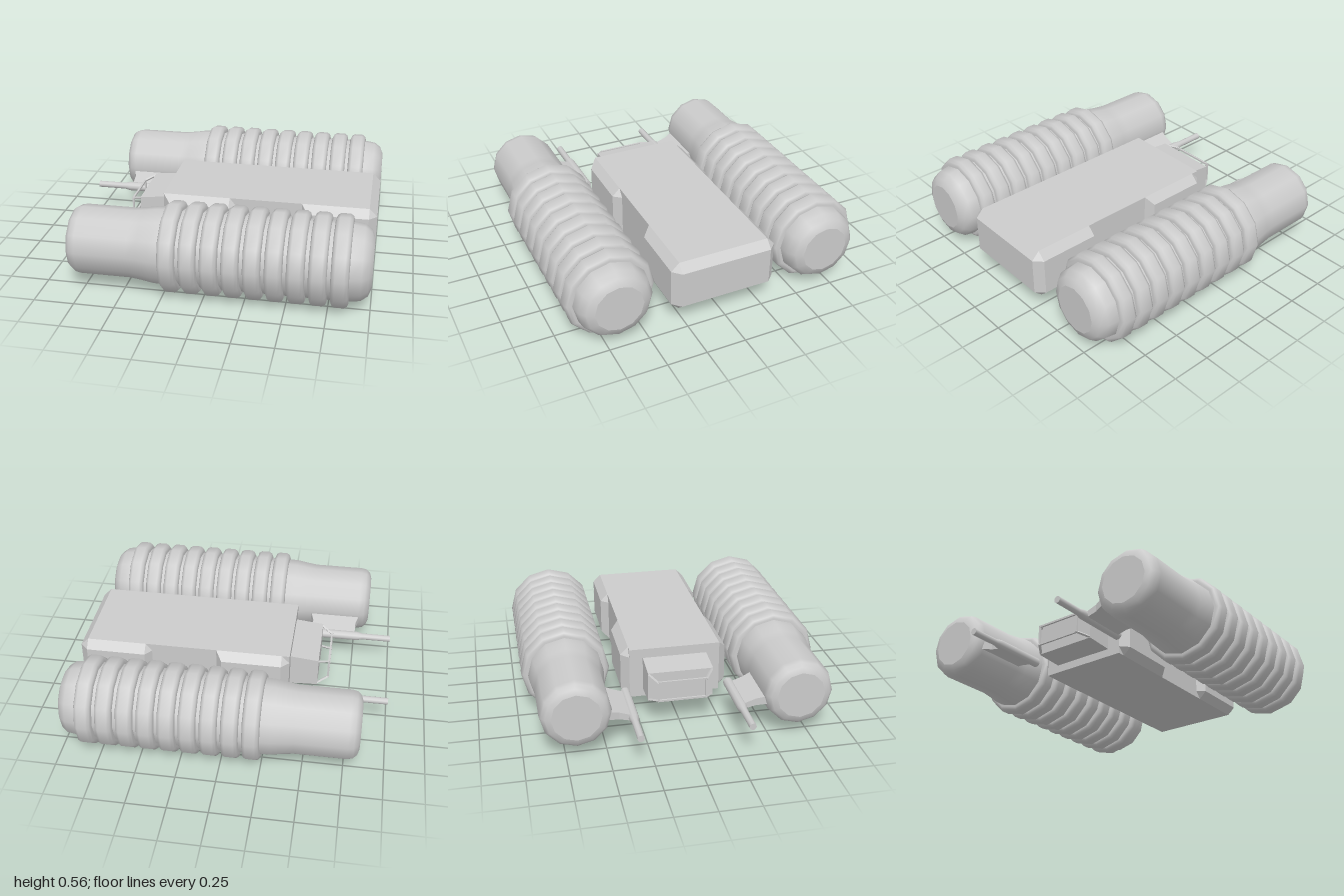
import * as THREE from 'three';

const smooth = new THREE.MeshStandardMaterial({ color: 0xcccccc });
const flat = new THREE.MeshStandardMaterial({ color: 0xcccccc, flatShading: true });

function add(parent, name, geometry, material) {
  const mesh = new THREE.Mesh(geometry, material);
  mesh.name = name;
  parent.add(mesh);
  return mesh;
}

// Solid of revolution about the x axis; points are [x, radius] with x increasing
function turned(points, sides) {
  const profile = points.map(([x, r]) => new THREE.Vector2(r, x));
  return new THREE.LatheGeometry(profile, sides).rotateZ(-Math.PI / 2);
}

// Faceted solid through equal-length loops, each counterclockwise about the sweep direction
function loft(loops) {
  const out = [];
  const tri = (a, b, c) => out.push(...a, ...b, ...c);
  const n = loops[0].length;
  for (let i = 0; i < loops.length - 1; i++) {
    for (let j = 0; j < n; j++) {
      const k = (j + 1) % n;
      const [p, q] = [loops[i], loops[i + 1]];
      tri(p[j], p[k], q[k]);
      tri(p[j], q[k], q[j]);
    }
  }
  const first = loops[0], last = loops[loops.length - 1];
  for (let j = 1; j < n - 1; j++) {
    tri(first[0], first[j + 1], first[j]);
    tri(last[0], last[j], last[j + 1]);
  }
  const g = new THREE.BufferGeometry();
  g.setAttribute('position', new THREE.Float32BufferAttribute(out, 3));
  g.computeVertexNormals();
  return g;
}

// Square bar between two points
function bar(a, b, size) {
  const from = new THREE.Vector3(...a), to = new THREE.Vector3(...b);
  const dir = to.clone().sub(from);
  const g = new THREE.BoxGeometry(size, dir.length() + size, size);
  g.applyQuaternion(new THREE.Quaternion().setFromUnitVectors(
    new THREE.Vector3(0, 1, 0), dir.normalize()));
  const mid = from.add(to).multiplyScalar(0.5);
  return g.translate(mid.x, mid.y, mid.z);
}

// Octagonal hull section: w is the widest half width, the rest are heights
function hullLoop(x, w, top = 0.45, bottom = 0.12) {
  const e = 0.29, u = 0.4, l = 0.165;
  return [[x, top, -e], [x, top, e], [x, u, w], [x, l, w],
    [x, bottom, e], [x, bottom, -e], [x, l, -w], [x, u, -w]];
}

function rectLoop(x, w, bottom, top) {
  return [[x, top, -w], [x, top, w], [x, bottom, w], [x, bottom, -w]];
}

export function createModel() {
  const model = new THREE.Group();
  model.name = 'craft';

  // Chamfered hull with a recess in each side
  add(model, 'hull', loft([
    hullLoop(-0.36, 0.29), hullLoop(-0.31, 0.34),
    hullLoop(0.07, 0.34), hullLoop(0.11, 0.29),
    hullLoop(0.53, 0.29), hullLoop(0.57, 0.34),
    hullLoop(0.95, 0.34), hullLoop(1.0, 0.29, 0.4, 0.165),
  ]), flat);

  // Nose block and the open frame ahead of it
  add(model, 'nose', loft([
    rectLoop(-0.54, 0.205, 0.18, 0.37), rectLoop(-0.35, 0.205, 0.17, 0.39),
  ]), flat);
  const frame = new THREE.Group();
  frame.name = 'noseFrame';
  model.add(frame);
  const inner = rectLoop(-0.54, 0.195, 0.19, 0.36);
  const outer = rectLoop(-0.605, 0.15, 0.21, 0.335);
  for (let i = 0; i < 4; i++) {
    add(frame, 'frameStrut', bar(inner[i], outer[i], 0.012), flat);
    add(frame, 'frameEdge', bar(outer[i], outer[(i + 1) % 4], 0.012), flat);
  }

  // Shared profiles for the side pods
  const tankGeometry = turned([
    [-0.84, 0], [-0.84, 0.15], [-0.84, 0.15], [-0.828, 0.185], [-0.805, 0.207], [-0.77, 0.215],
    [-0.45, 0.215], [-0.38, 0.224], [-0.31, 0.236], [-0.25, 0.238],
    [0.87, 0.238], [0.94, 0.228], [0.98, 0.198], [1.0, 0.15], [1.0, 0.15], [1.0, 0],
  ], 12);
  const ringGeometry = turned([
    [-0.053, 0.22], [-0.053, 0.25], [-0.046, 0.268], [-0.028, 0.28],
    [0.028, 0.28], [0.046, 0.268], [0.053, 0.25], [0.053, 0.22],
  ], 12);
  const gunGeometry = turned([
    [-1, 0], [-1, 0.022], [-1, 0.022], [-0.81, 0.022], [-0.77, 0.031],
    [-0.43, 0.031], [-0.43, 0.031], [-0.43, 0],
  ], 10);

  for (const side of [1, -1]) {
    const pod = new THREE.Group();
    pod.name = side > 0 ? 'leftPod' : 'rightPod';
    model.add(pod);

    // Ribbed tank
    add(pod, 'tank', tankGeometry, smooth).position.set(0, 0.284, side * 0.68);
    for (let i = 0; i < 9; i++) {
      add(pod, 'rib', ringGeometry, smooth).position.set(-0.197 + i * 0.127, 0.284, side * 0.68);
    }

    // Gun and the sloping bracket that holds it
    add(pod, 'gun', gunGeometry, smooth).position.set(0, 0.2, side * 0.333);
    const slab = (z, x0, x1, y0, y1) => [
      [x0, y0, side * z], [x1, y0, side * z], [x1, y1, side * z], [x0, y1, side * z]];
    const loops = [
      slab(0.335, -0.755, -0.46, 0.178, 0.215),
      slab(0.42, -0.755, -0.46, 0.198, 0.244),
      slab(0.51, -0.785, -0.43, 0.218, 0.274),
    ];
    add(pod, 'gunBracket', loft(side > 0 ? loops : loops.reverse()), flat);
  }

  return model;
}
